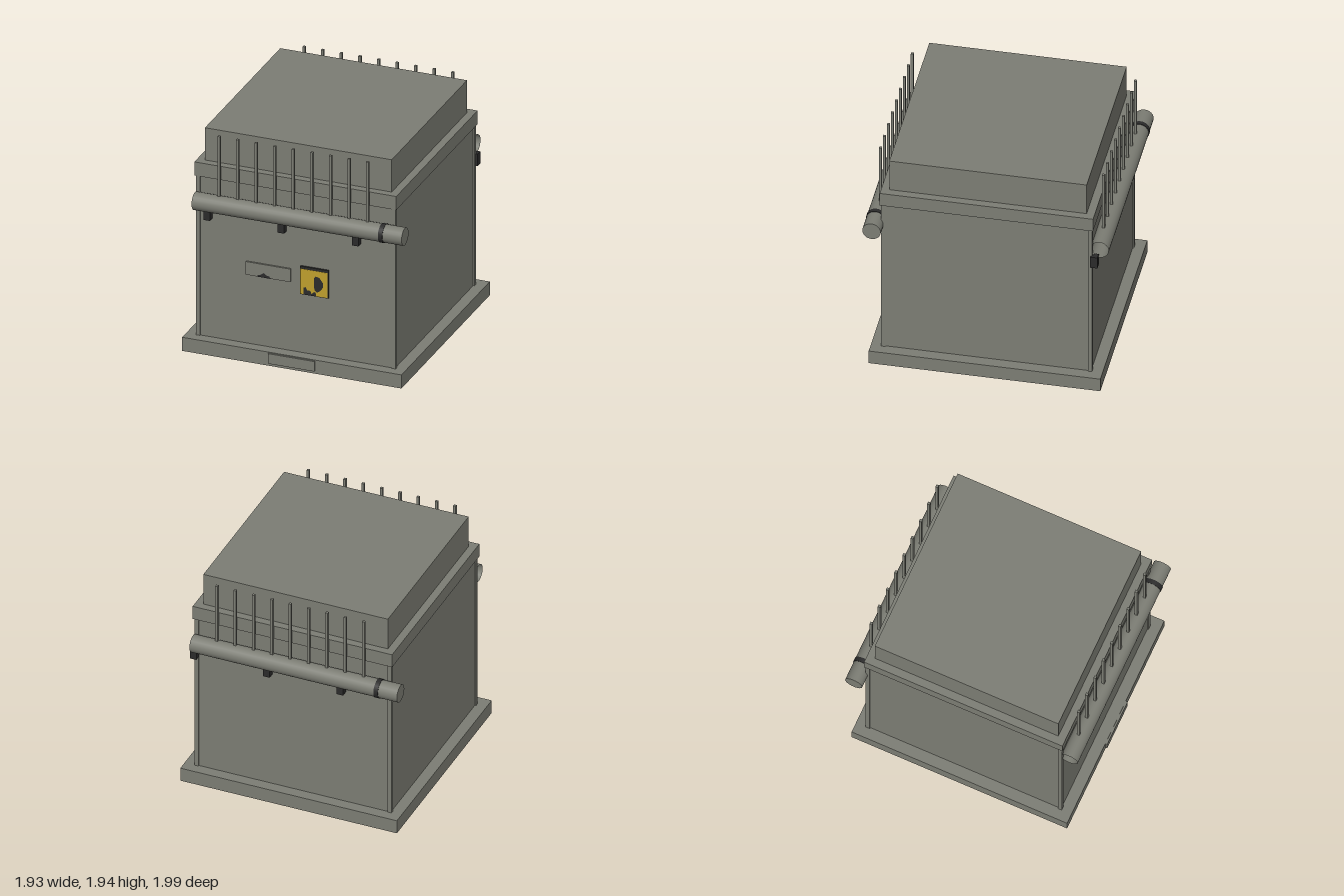
import * as THREE from 'three';

export function createModel() {
  const model = new THREE.Group();
  model.name = 'storageContainer';

  const material = (name, color, side = THREE.FrontSide) => {
    const m = new THREE.MeshStandardMaterial({ color, side });
    m.name = name;
    return m;
  };
  const grey = material('greyPaint', 0x7c7d74, THREE.DoubleSide);
  const dark = material('blackRubber', 0x2b2b2b);
  const yellow = material('warningYellow', 0xbf9f2d);

  const add = (parent, name, geometry, mat, x = 0, y = 0, z = 0) => {
    const mesh = new THREE.Mesh(geometry, mat);
    mesh.name = name;
    mesh.position.set(x, y, z);
    parent.add(mesh);
    return mesh;
  };
  // Box given by its lower and upper corners
  const box = (parent, name, mat, [x0, y0, z0], [x1, y1, z1]) =>
    add(parent, name, new THREE.BoxGeometry(x1 - x0, y1 - y0, z1 - z0), mat,
      (x0 + x1) / 2, (y0 + y1) / 2, (z0 + z1) / 2);

  // Stacked body: base, walls, rim and raised lid
  box(model, 'base', grey, [-0.945, 0, -0.945], [0.945, 0.12, 0.945]);
  box(model, 'walls', grey, [-0.85, 0.12, -0.85], [0.85, 1.53, 0.85]);
  box(model, 'rim', grey, [-0.87, 1.53, -0.87], [0.87, 1.65, 0.87]);
  box(model, 'lid', grey, [-0.805, 1.65, -0.805], [0.805, 1.935, 0.805]);

  // Corner posts
  for (const sx of [-1, 1]) {
    for (const sz of [-1, 1]) {
      add(model, 'cornerPost', new THREE.BoxGeometry(0.035, 1.41, 0.035), grey,
        sx * 0.8425, 0.825, sz * 0.8425);
    }
  }

  // Pipe with clamp, brackets and upright rods; the rear one is turned half round
  const pipeAssembly = (name, bracketShift) => {
    const group = new THREE.Group();
    group.name = name;
    const y = 1.333, z = 0.918;
    const tube = (part, radius, x0, x1, mat, open) => {
      const geometry = new THREE.CylinderGeometry(radius, radius, x1 - x0, 24, 1, open);
      geometry.rotateZ(-Math.PI / 2);
      add(group, part, geometry, mat, (x0 + x1) / 2, y, z);
    };
    tube('pipe', 0.075, -0.845, 0.965, grey, true);
    add(group, 'pipeCap', new THREE.CircleGeometry(0.075, 24), grey, 0.965, y, z)
      .rotation.y = Math.PI / 2;
    tube('clamp', 0.079, 0.762, 0.8, dark, false);

    for (const x of [-0.75, -0.11, 0.53]) {
      const cx = x + bracketShift;
      box(group, 'bracket', dark, [cx - 0.028, 1.17, 0.848], [cx + 0.028, 1.275, 0.907]);
    }
    for (let i = -4; i <= 4; i++) {
      add(group, 'rod', new THREE.BoxGeometry(0.022, 0.535, 0.022), grey, i * 0.16, 1.6675, 0.91);
    }
    model.add(group);
    return group;
  };
  pipeAssembly('frontPipe', 0);
  pipeAssembly('rearPipe', -0.1).rotation.y = Math.PI;

  // Flat painted shape on the front
  const decal = (name, points, z) => {
    const shape = new THREE.Shape(points.map(([x, y]) => new THREE.Vector2(x, y)));
    add(model, name, new THREE.ShapeGeometry(shape), dark, 0, 0, z);
  };

  // Nameplate with a worn patch
  box(model, 'nameplate', grey, [-0.43, 0.73, 0.84], [-0.045, 0.845, 0.865]);
  decal('nameplateWear', [[-0.325, 0.73], [-0.325, 0.745], [-0.3, 0.752], [-0.273, 0.77],
    [-0.253, 0.753], [-0.227, 0.75], [-0.21, 0.73]], 0.867);

  // Warning sign: dark backing, yellow face and worn patches
  box(model, 'signBacking', dark, [0.04, 0.642, 0.84], [0.283, 0.888, 0.866]);
  box(model, 'signFace', yellow, [0.046, 0.645, 0.86], [0.276, 0.867, 0.868]);
  decal('signWearRight', [[0.16, 0.8], [0.175, 0.82], [0.207, 0.814], [0.24, 0.77],
    [0.24, 0.735], [0.216, 0.7], [0.186, 0.68], [0.165, 0.7], [0.16, 0.74]], 0.87);
  decal('signWearLeft', [[0.072, 0.645], [0.072, 0.706], [0.088, 0.712], [0.103, 0.686],
    [0.129, 0.686], [0.139, 0.66], [0.16, 0.68], [0.175, 0.68], [0.18, 0.645]], 0.87);

  // Small plate on the front of the base
  box(model, 'basePlate', grey, [-0.2, 0.025, 0.93], [0.2, 0.113, 0.96]);

  return model;
}
